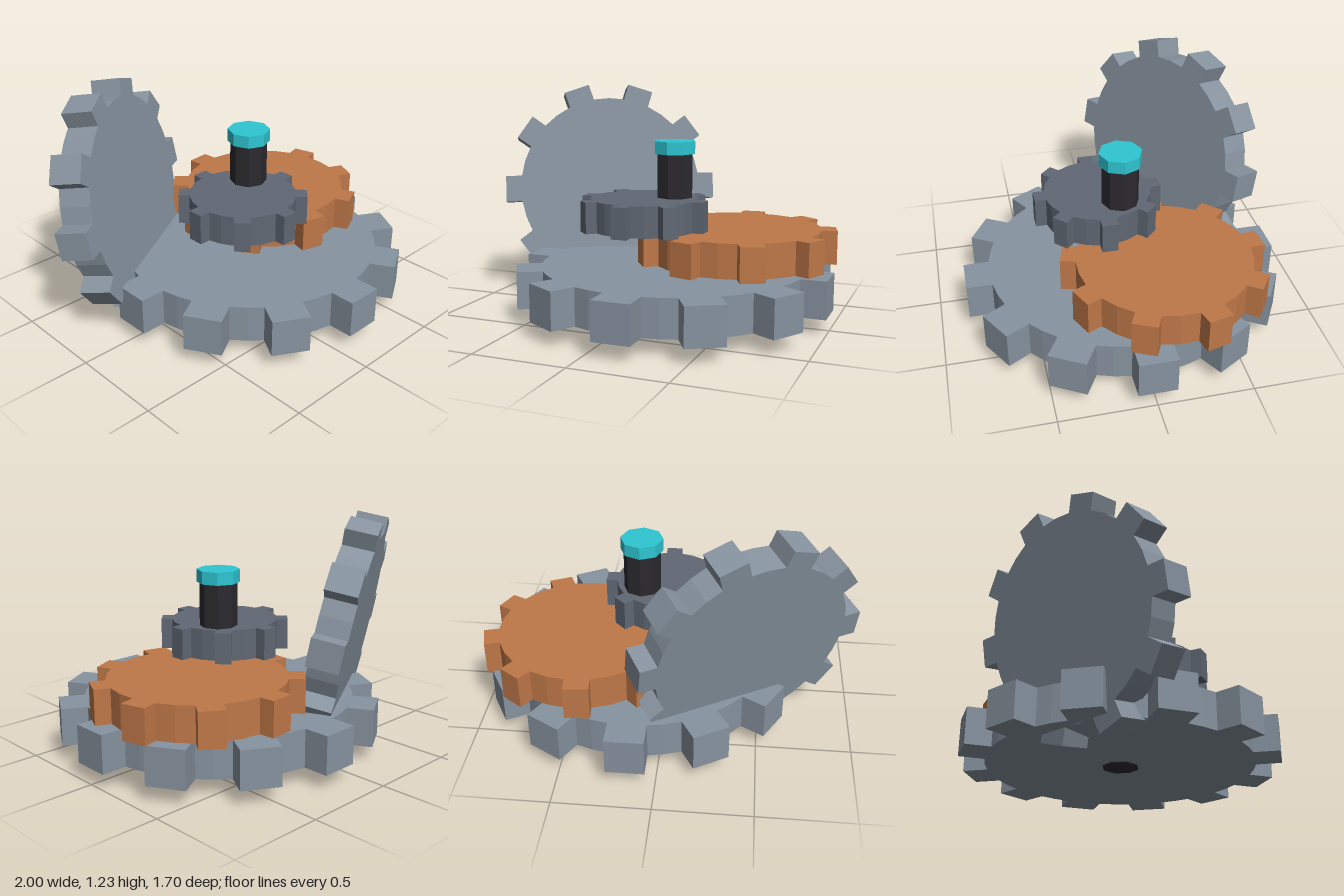
import * as THREE from 'three';

const mat = (name, color) => {
  const m = new THREE.MeshStandardMaterial({ color });
  m.name = name;
  return m;
};

// Spur gear lying in XY, centred on its own thickness along z
function gearGeometry(teeth, rootR, tipR, toothWidth, thickness) {
  const h = toothWidth / 2;
  const step = (Math.PI * 2) / teeth;
  const base = Math.sqrt(rootR * rootR - h * h);
  const pts = [];
  for (let i = 0; i < teeth; i++) {
    const dir = new THREE.Vector2(), origin = new THREE.Vector2();
    const add = (x, y, a) => pts.push(dir.set(x, y).rotateAround(origin, a).clone());
    const a = i * step;
    add(base, -h, a);
    add(tipR, -h, a);
    add(tipR, h, a);
    add(base, h, a);
    add(rootR, 0, a + step / 2); // faceted gap between teeth
  }
  const geo = new THREE.ExtrudeGeometry(new THREE.Shape(pts), { depth: thickness, bevelEnabled: false });
  return geo.translate(0, 0, -thickness / 2);
}

export function createModel() {
  const model = new THREE.Group();
  model.name = 'gearAssembly';

  const steel = mat('steel', 0x87939f);
  const darkSteel = mat('dark steel', 0x606874);
  const copper = mat('copper', 0xbf7848);
  const black = mat('black', 0x2b292e);
  const cyan = mat('cyan', 0x2ec6d2);

  const add = (name, geo, material, x, y, z) => {
    const mesh = new THREE.Mesh(geo, material);
    mesh.name = name;
    mesh.position.set(x, y, z);
    model.add(mesh);
    return mesh;
  };

  // Flat stacked gears: name, material, teeth, root, tip, tooth width, y0, y1, x, z, turn
  const flatGears = [
    ['baseGear', steel, 12, 0.72, 0.85, 0.2, 0.085, 0.285, 0.15, 0, 0],
    ['copperGear', copper, 9, 0.46, 0.537, 0.13, 0.295, 0.477, 0.45, -0.168, Math.PI / 12],
    ['smallGear', darkSteel, 8, 0.288, 0.345, 0.085, 0.485, 0.65, 0.013, 0.097, 0],
  ];
  for (const [name, material, n, root, tip, w, y0, y1, x, z, turn] of flatGears) {
    const geo = gearGeometry(n, root, tip, w, y1 - y0).rotateX(-Math.PI / 2).rotateY(turn);
    add(name, geo, material, x, (y0 + y1) / 2, z);
  }

  // Upright gear, turned sideways and leaning back
  const upright = add('uprightGear', gearGeometry(10, 0.53, 0.617, 0.15, 0.17), steel, -0.417, 0.617, -0.402);
  upright.rotation.set(-0.19, Math.PI / 6, 0, 'YXZ');

  // Central shaft and its cap
  const prism = (r, h) => new THREE.CylinderGeometry(r, r, h, 8).toNonIndexed();
  for (const [name, r, y0, y1, material] of [
    ['shaft', 0.1, 0.08, 0.89, black],
    ['shaftCap', 0.115, 0.885, 0.953, cyan],
  ]) {
    const geo = prism(r, y1 - y0);
    geo.computeVertexNormals(); // flat facets
    add(name, geo, material, 0.15, (y0 + y1) / 2, 0);
  }

  return model;
}
